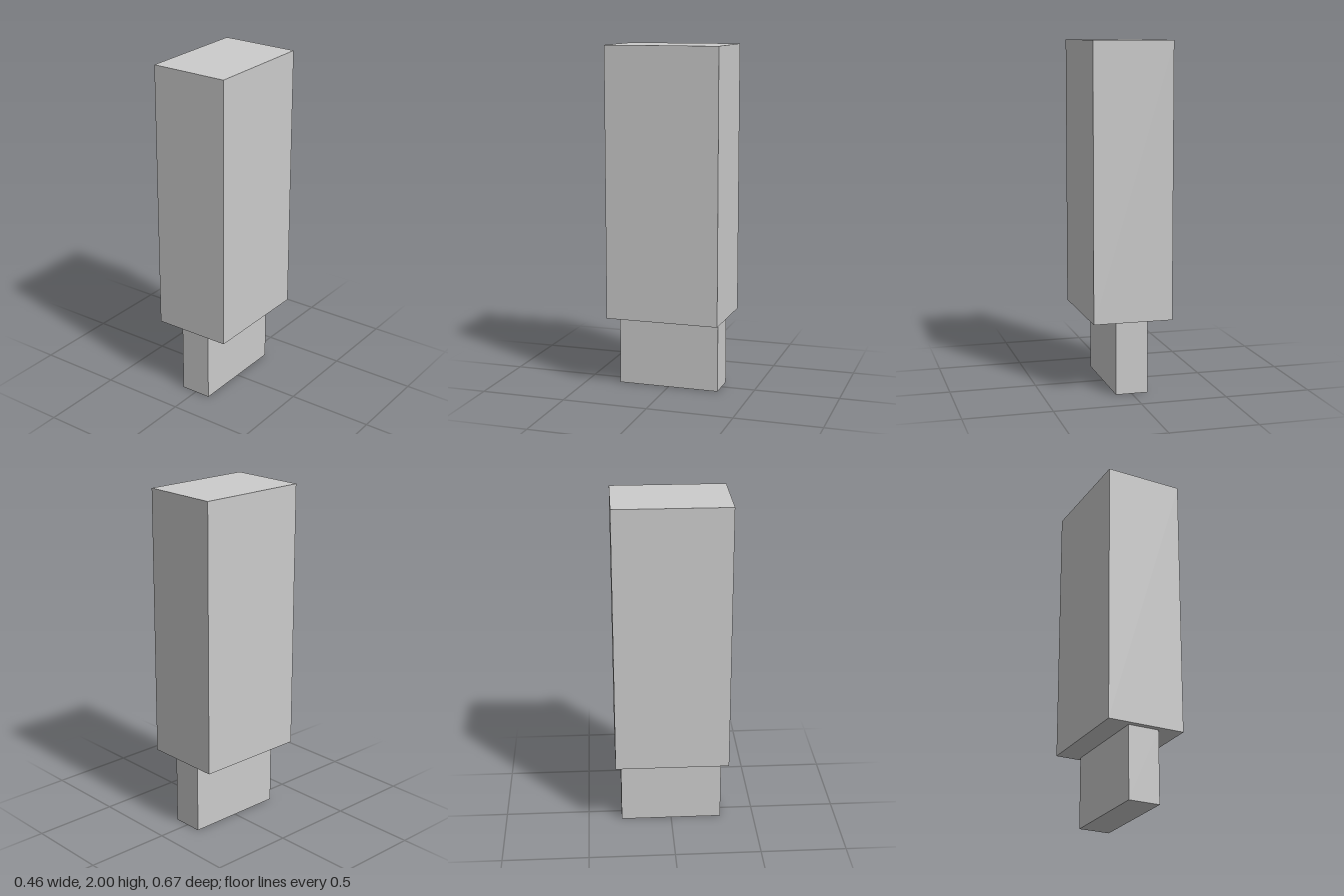
import * as THREE from 'three';

export function createModel() {
  const group = new THREE.Group();
  const material = new THREE.MeshStandardMaterial({ color: 0xcccccc, flatShading: true });

  // Box standing between two heights, centred on the vertical axis
  const addBlock = (name, width, depth, bottom, top) => {
    const mesh = new THREE.Mesh(new THREE.BoxGeometry(width, top - bottom, depth), material);
    mesh.name = name;
    mesh.position.y = (bottom + top) / 2;
    group.add(mesh);
  };

  // Narrow stem below, tall block resting on it
  const shoulder = 0.424;
  addBlock('stem', 0.186, 0.6, 0, shoulder);
  addBlock('body', 0.46, 0.666, shoulder, 2);

  return group;
}
